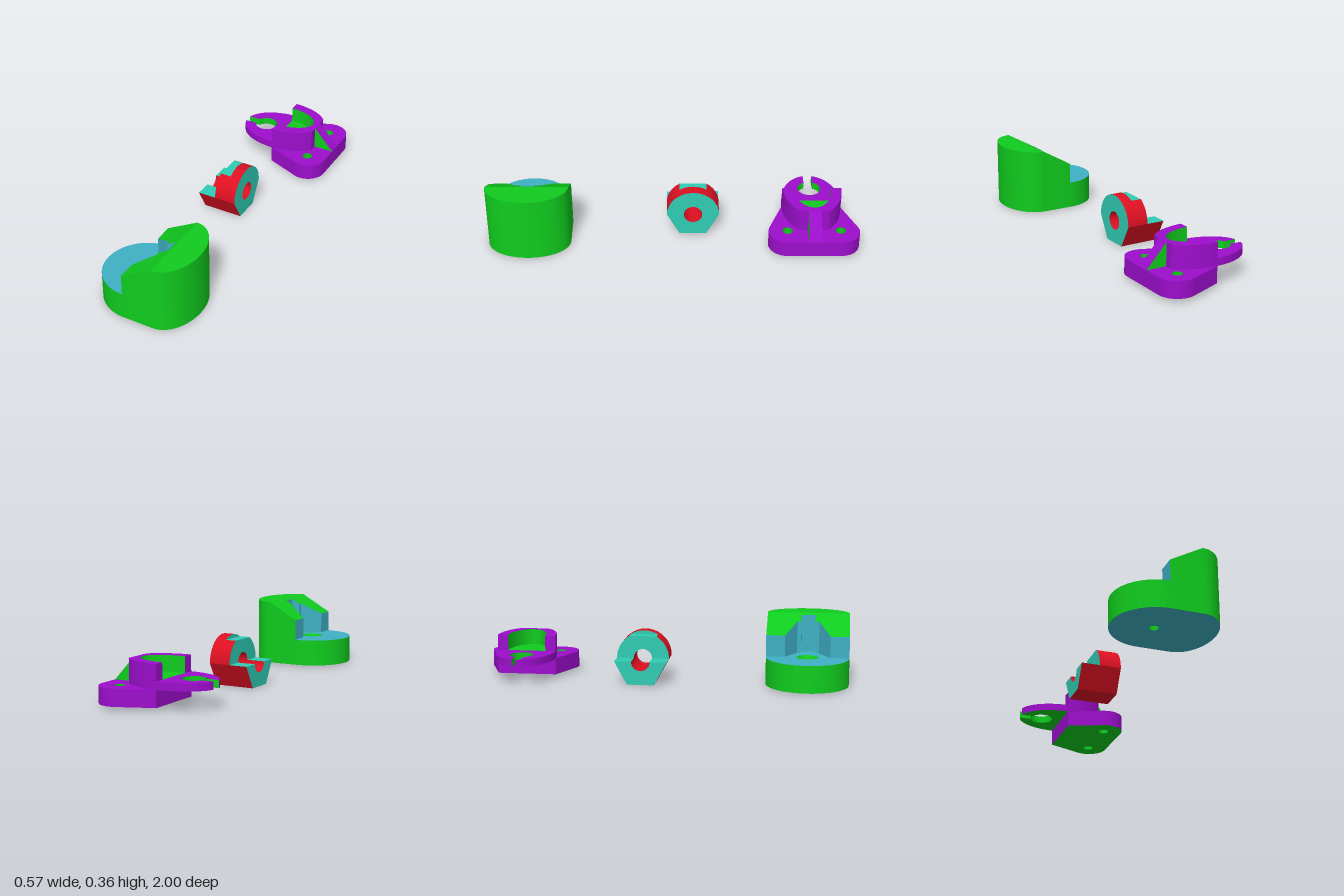
import * as THREE from 'three';
import { toCreasedNormals } from 'three/addons/utils/BufferGeometryUtils.js';

const mat = (color) => new THREE.MeshStandardMaterial({ color, side: THREE.DoubleSide });
const GREEN = mat(0x10cc1e), BLUE = mat(0x3fb0c4), RED = mat(0xdd1022);
const TEAL = mat(0x30ccb4), PURPLE = mat(0x9c0ecc);
const PI = Math.PI;

const p = (x, z) => new THREE.Vector2(x, z);
const at = (y, x) => (typeof y === 'function' ? y(x) : y);

// Points along an elliptical arc in plan (x, z)
function arc(cx, cz, rx, rz, a0, a1, n = 32) {
  return Array.from({ length: n + 1 }, (_, i) => {
    const a = a0 + (a1 - a0) * i / n;
    return p(cx + rx * Math.cos(a), cz + rz * Math.sin(a));
  });
}
const ring = (x, z, r) => arc(x, z, r, r, 2 * PI, 0, 48);

function add(group, name, geometry, material) {
  const mesh = new THREE.Mesh(geometry, material);
  mesh.name = name;
  group.add(mesh);
}

// Upright ribbon along plan points; heights may depend on x
function wall(group, name, pts, y0, y1, material) {
  const v = [];
  for (let i = 0; i < pts.length - 1; i++) {
    const a = pts[i], b = pts[i + 1];
    const a0 = [a.x, at(y0, a.x), a.y], a1 = [a.x, at(y1, a.x), a.y];
    const b0 = [b.x, at(y0, b.x), b.y], b1 = [b.x, at(y1, b.x), b.y];
    v.push(...a0, ...a1, ...b1, ...a0, ...b1, ...b0);
  }
  const g = new THREE.BufferGeometry();
  g.setAttribute('position', new THREE.Float32BufferAttribute(v, 3));
  add(group, name, toCreasedNormals(g, 0.3), material);
}

// Flat or sloped face filling a plan outline, facing up or down
function cap(group, name, pts, y, material, up = true, holes = []) {
  const shape = new THREE.Shape(pts);
  shape.holes = holes.map((h) => new THREE.Path(h));
  const g = new THREE.ShapeGeometry(shape);
  const pos = g.attributes.position;
  for (let i = 0; i < pos.count; i++) {
    const x = pos.getX(i);
    pos.setXYZ(i, x, at(y, x), pos.getY(i));
  }
  if (up) g.index.array.reverse();
  g.computeVertexNormals();
  add(group, name, g, material);
}

function named(name, parent) {
  const g = new THREE.Group();
  g.name = name;
  parent.add(g);
  return g;
}

// Rounded housing with sloping top, keyed pocket and drain hole
function buildHousing(root) {
  const g = named('housing', root);
  g.position.z = 0.778;
  const X = -0.043, R = 0.222, Y0 = 0.003, FLOOR = 0.15;
  const top = (x) => Math.min(0.362, 0.265 + (x - X) * 0.097 / 0.173);
  const leftArc = arc(X, 0, R, R, PI / 2, 1.5 * PI, 40);
  const rightArc = arc(0.13, 0, 0.147, R, -PI / 2, PI / 2, 40);
  const half = [p(X, 0.121), p(0.064, 0.059), p(0.064, 0.038), p(0.113, 0.038)];
  const pocket = [...half, ...half.map((q) => p(q.x, -q.y)).reverse()];

  wall(g, 'baseSide', leftArc, Y0, FLOOR, GREEN);
  wall(g, 'upperSide', [p(X, -R), ...rightArc, p(X, R)], Y0, top, GREEN);
  wall(g, 'pocketWalls', [p(X, R), ...pocket, p(X, -R)], FLOOR, top, BLUE);
  cap(g, 'slopedTop', [p(X, R), ...pocket, p(X, -R), p(0.13, -R), p(0.13, R)], top, GREEN);
  cap(g, 'flatTop', rightArc, 0.362, GREEN);
  cap(g, 'pocketFloor', [...leftArc, ...[...pocket].reverse()], FLOOR, BLUE, true, [ring(X, 0, 0.058)]);
  cap(g, 'underside', [...leftArc, ...rightArc], Y0, BLUE, false, [ring(X, 0, 0.024)]);

  const funnel = new THREE.LatheGeometry(
    [p(0.024, Y0), p(0.024, 0.09), p(0.058, FLOOR)], 48).translate(X, 0, 0);
  add(g, 'funnelHole', funnel, GREEN);
}

// Bored block, built along its axis and then laid over so the axis runs along x
function buildBoredBlock(root) {
  const g = named('boredBlock', root);
  g.rotation.z = -PI / 2;
  g.position.set(0, 0.126, -0.107);
  const R = 0.142, B = 0.126, W = 0.073, H = 0.05;
  const A = -0.167, M = -0.065, N = -0.005, E = 0.055;
  const t = Math.acos(0.121 / R);
  const lower = [p(0, -R), p(B, -W), p(B, W), p(0, R)];
  const dome = arc(0, 0, R, R, PI / 2, 1.5 * PI, 40);
  const sideA = arc(0, 0, R, R, PI / 2, PI - t, 20);
  const sideB = arc(0, 0, R, R, PI + t, 1.5 * PI, 20);
  const crown = arc(0, 0, R, R, PI - t, PI + t, 20);
  const groove = arc(0, 0, H, H, PI / 2, -PI / 2, 24);

  wall(g, 'lowerSides', lower, A, E, RED);
  wall(g, 'dome', dome, N, E, RED);
  wall(g, 'domeSideA', sideA, M, N, RED);
  wall(g, 'domeSideB', sideB, M, N, RED);
  wall(g, 'notchFloor', [sideA.at(-1), sideB[0]], M, N, TEAL);
  cap(g, 'notchEnd', crown, N, TEAL, false);
  wall(g, 'bore', ring(0, 0, H), M, E, RED);
  wall(g, 'groove', groove, A, M, RED);
  wall(g, 'ledgeA', [p(0, R), p(0, H)], A, M, TEAL);
  wall(g, 'ledgeB', [p(0, -H), p(0, -R)], A, M, TEAL);
  cap(g, 'ledgeEnd', [...lower, ...groove], A, TEAL, false);
  cap(g, 'stepFace', [...sideA, ...sideB, ...arc(0, 0, H, H, -PI / 2, -1.5 * PI, 24)], M, TEAL, false);
  cap(g, 'farEnd', [...dome, p(B, -W), p(B, W)], E, TEAL, true, [ring(0, 0, H)]);
}

// Mounting bracket: screw plate, open cup, slotted hook plate and gusset
function buildBracket(root) {
  const g = named('bracket', root);
  g.position.z = -0.756;
  const X = -0.043, RX = 0.244, RZ = 0.161;
  const Y0 = 0.017, Y1 = 0.107, Y2 = 0.147, Y3 = 0.232;

  // Screw plate
  const cx = 0.184, cz = 0.143, r = 0.102, lean = 1.95;
  const plate = [p(X, RZ), p(X, -RZ), ...arc(cx, -cz, r, r, -lean, 0),
    ...arc(cx, cz, r, r, 0, lean), p(X, RZ)];
  const screws = [-cz, cz].map((z) => ring(cx - 0.004, z, 0.028));
  wall(g, 'plateSide', plate, Y0, Y1, PURPLE);
  cap(g, 'plateTop', plate.slice(0, -1), Y1, PURPLE, true, screws);
  cap(g, 'plateUnderside', plate.slice(0, -1), Y0, GREEN, false, screws);
  screws.forEach((s) => wall(g, 'screwHole', s, Y0, Y1, GREEN));

  // Cup open towards the hook, with a flat back
  const back = 0.172, cut = Math.acos((back - X) / RX);
  const outer = [...arc(X, 0, RX, RZ, -PI / 2, -cut), ...arc(X, 0, RX, RZ, cut, PI / 2)];
  const inner = arc(X, 0, 0.185, 0.104, PI / 2, -PI / 2, 40);
  wall(g, 'cupOutside', outer, Y1, Y3, PURPLE);
  wall(g, 'cupInside', inner, Y2, Y3, GREEN);
  wall(g, 'cupEndA', [p(X, RZ), p(X, 0.104)], Y2, Y3, PURPLE);
  wall(g, 'cupEndB', [p(X, -0.104), p(X, -RZ)], Y2, Y3, PURPLE);
  cap(g, 'cupRim', [...outer, ...inner], Y3, PURPLE);
  cap(g, 'cupFloor', inner, Y2, GREEN);

  // Slotted hook plate
  const s = 0.024, hr = 0.063, e = Math.asin(s / RZ), h = PI - Math.asin(s / hr);
  const armA = arc(X, 0, RX, RZ, PI / 2, PI - e);
  const armB = arc(X, 0, RX, RZ, PI + e, 1.5 * PI);
  const eye = arc(-0.16, 0, hr, hr, h, -h, 48);
  wall(g, 'hookSideA', armA, Y1, Y2, PURPLE);
  wall(g, 'hookSideB', armB, Y1, Y2, PURPLE);
  wall(g, 'hookSlot', [armA.at(-1), ...eye, armB[0]], Y1, Y2, GREEN);
  cap(g, 'hookTop', [...armA, ...eye, ...armB], Y2, PURPLE);
  cap(g, 'hookUnderside', [...armA, ...eye, ...armB], Y1, GREEN, false);

  // Gusset behind the cup
  const tip = cx + r, w = 0.033;
  const slope = (x) => Y3 + (Y1 - Y3) * (x - back) / (tip - back);
  cap(g, 'gussetSlope', [p(back, -w), p(tip, -w), p(tip, w), p(back, w)], slope, PURPLE);
  wall(g, 'gussetSideA', [p(back, -w), p(tip, -w)], Y1, slope, GREEN);
  wall(g, 'gussetSideB', [p(tip, w), p(back, w)], Y1, slope, GREEN);
}

export function createModel() {
  const root = new THREE.Group();
  root.name = 'partSet';
  buildHousing(root);
  buildBoredBlock(root);
  buildBracket(root);
  return root;
}
